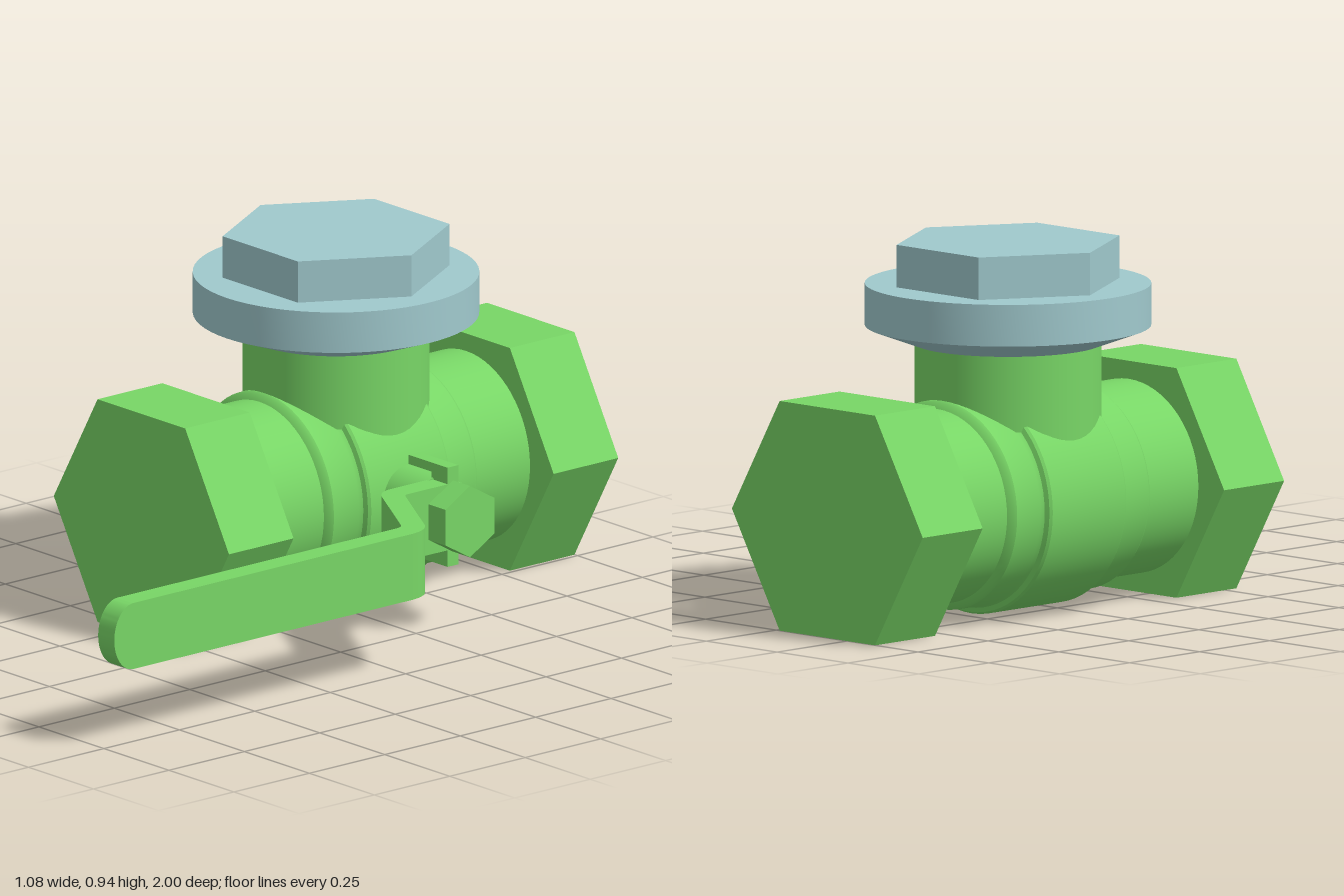
import * as THREE from 'three';
import { toCreasedNormals } from 'three/addons/utils/BufferGeometryUtils.js';

const CX = -0.18, CY = 0.293, CZ = -0.355; // crossing of the pipe and neck axes

export function createModel() {
  const model = new THREE.Group();
  const green = new THREE.MeshStandardMaterial({ color: 0x78d666 });
  const greenFlat = new THREE.MeshStandardMaterial({ color: 0x78d666, flatShading: true });
  const blue = new THREE.MeshStandardMaterial({ color: 0xa0c9cd });
  const blueFlat = new THREE.MeshStandardMaterial({ color: 0xa0c9cd, flatShading: true });

  const add = (name, geometry, material, x = 0, y = 0, z = 0) => {
    const mesh = new THREE.Mesh(geometry, material);
    mesh.name = name;
    mesh.position.set(x, y, z);
    model.add(mesh);
  };
  // hexagonal prism standing on y, with corners on the x axis
  const hex = (r, h) => new THREE.CylinderGeometry(r, r, h, 6).rotateY(Math.PI / 2);
  const lathe = (pts) => toCreasedNormals(
    new THREE.LatheGeometry(pts.map(([r, y]) => new THREE.Vector2(r, y)), 64), 0.5);
  const extrude = (shape, depth) => toCreasedNormals(
    new THREE.ExtrudeGeometry(shape, { depth, bevelEnabled: false, curveSegments: 16 }), 0.5);

  // stepped pipe body, symmetric about its middle
  const half = [[0.287, 0.13], [0.282, 0.137], [0.270, 0.142], [0.265, 0.152], [0.265, 0.235],
    [0.260, 0.243], [0.246, 0.252], [0.246, 0.5]];
  const profile = [...half.map(([r, t]) => [r, -t]).reverse(), ...half];
  add('pipeBody', lathe(profile).rotateX(Math.PI / 2), green, CX, CY, CZ);

  // hexagonal pipe ends
  for (const [name, z] of [['frontEndNut', 0.183], ['rearEndNut', -0.893]])
    add(name, hex(0.337, 0.214).rotateX(Math.PI / 2), greenFlat, CX, CY, z);

  // neck and cap
  add('neck', new THREE.CylinderGeometry(0.235, 0.235, 0.32, 64), green, CX, 0.53, CZ);
  add('capFlange', lathe([[0, 0.681], [0.24, 0.681], [0.36, 0.726], [0.36, 0.832], [0, 0.832]]),
    blue, CX, 0, CZ);
  add('capHex', hex(0.29, 0.108), blueFlat, CX, 0.886, CZ);

  // stem with its nut
  add('stem', new THREE.CylinderGeometry(0.093, 0.093, 0.21, 40).rotateZ(Math.PI / 2),
    green, 0.11, CY, CZ);
  add('stemNut', hex(0.0935, 0.075).rotateZ(Math.PI / 2), greenFlat, 0.298, CY, CZ);

  // handle: flat mounting plate, cranked middle and long grip
  const H = 0.0865, T = 0.062;
  const plate = new THREE.Shape();
  plate.moveTo(-0.196, CY - H);
  plate.lineTo(-0.196, CY + H);
  plate.lineTo(CZ, CY + H);
  plate.absarc(CZ, CY, H, Math.PI / 2, Math.PI * 1.5, false);
  add('handlePlate', extrude(plate, T).rotateY(-Math.PI / 2), green, 0.27);

  const crank = new THREE.Shape();
  crank.moveTo(0.208, -0.196);
  crank.quadraticCurveTo(0.210, -0.160, 0.250, -0.138);
  crank.lineTo(0.460, -0.018);
  crank.quadraticCurveTo(0.478, -0.008, 0.478, 0.012);
  crank.lineTo(0.540, 0.012);
  crank.quadraticCurveTo(0.538, -0.040, 0.498, -0.064);
  crank.lineTo(0.282, -0.188);
  crank.quadraticCurveTo(0.270, -0.194, 0.270, -0.205);
  crank.lineTo(0.208, -0.205);
  add('handleCrank', extrude(crank, 2 * H).rotateX(Math.PI / 2), green, 0, CY + H);

  const grip = new THREE.Shape();
  grip.moveTo(0.012, CY - H);
  grip.lineTo(0.936, CY - H);
  grip.absellipse(0.936, CY, 0.064, H, -Math.PI / 2, Math.PI / 2, false);
  grip.lineTo(0.012, CY + H);
  add('handleGrip', extrude(grip, T).rotateY(-Math.PI / 2), green, 0.54);

  // three stop tabs folded back over the stem
  [-1, 0, 1].forEach((turn) => {
    const length = turn ? 0.15 : 0.115;
    const tab = new THREE.Group();
    tab.name = 'stopTab';
    const root = new THREE.Mesh(new THREE.BoxGeometry(T, 0.06, 0.036), green);
    root.name = 'tabRoot';
    root.position.set(0.239, 0.1, 0);
    const finger = new THREE.Mesh(new THREE.BoxGeometry(length, 0.024, 0.036), green);
    finger.name = 'tabFinger';
    finger.position.set(0.27 - length / 2, 0.118, 0);
    tab.add(root, finger);
    tab.position.set(0, CY, CZ);
    tab.rotation.x = (turn - 1) * Math.PI / 2;
    model.add(tab);
  });

  return model;
}
